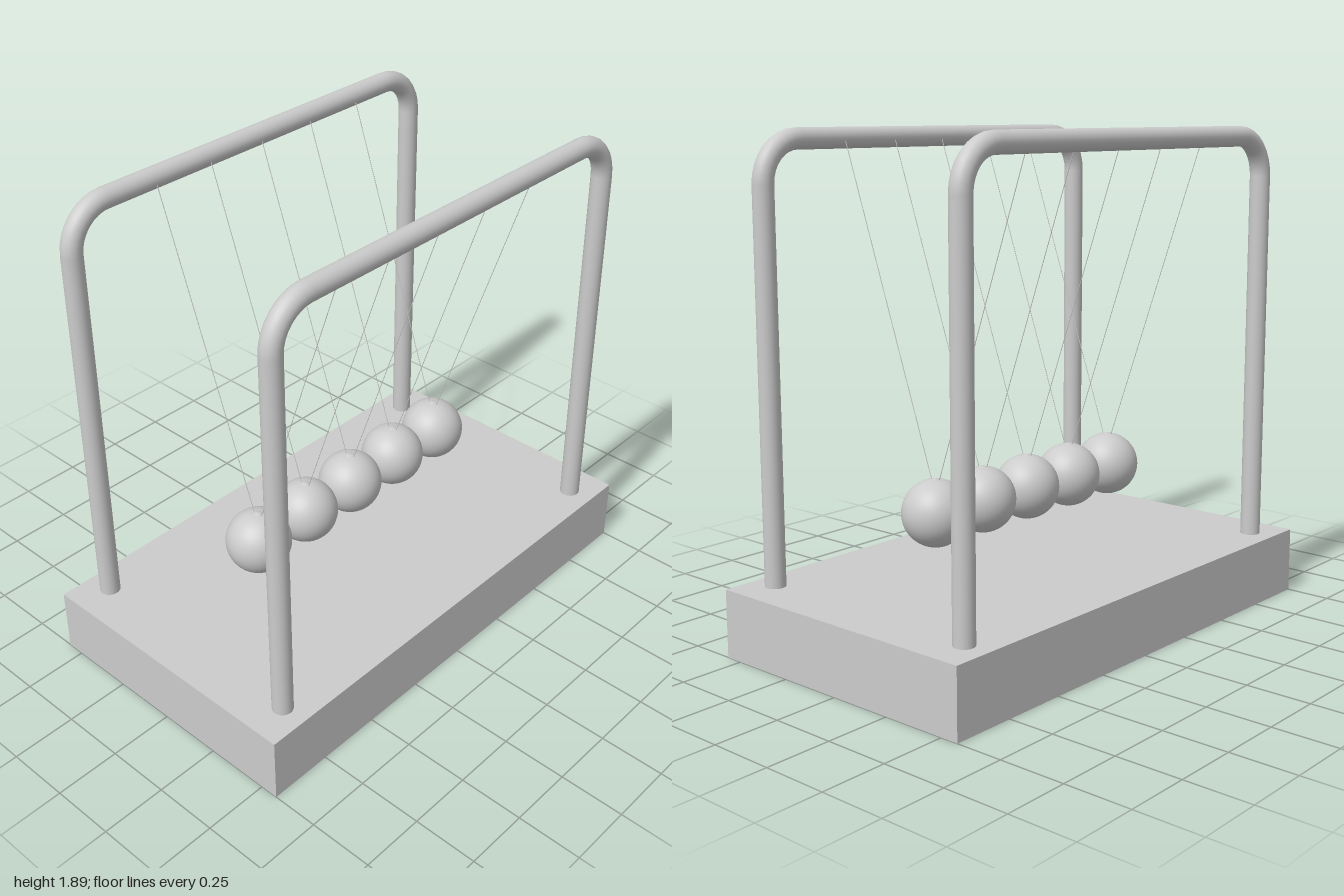
import * as THREE from 'three';

const material = new THREE.MeshStandardMaterial({ color: 0xcccccc });

function part(name, geometry, x = 0, y = 0, z = 0) {
  const mesh = new THREE.Mesh(geometry, material);
  mesh.name = name;
  mesh.position.set(x, y, z);
  return mesh;
}

// Straight round bar between two points
function rod(name, from, to, radius, sides, open = true) {
  const dir = to.clone().sub(from);
  const mesh = part(name, new THREE.CylinderGeometry(radius, radius, dir.length(), sides, 1, open));
  mesh.position.copy(from).addScaledVector(dir, 0.5);
  mesh.quaternion.setFromUnitVectors(new THREE.Vector3(0, 1, 0), dir.normalize());
  return mesh;
}

const V = (x, y, z) => new THREE.Vector3(x, y, z);

const BASE = { w: 2, h: 0.257, d: 1.14 };
const RAIL = { x: 0.855, y: 1.856, z: 0.467, r: 0.039, bend: 0.155 };
const BALL = { r: 0.124, y: 0.541, step: 0.25 };

// Inverted U frame: two posts, two rounded corners, one top bar
function createFrame(z) {
  const frame = new THREE.Group();
  frame.name = z > 0 ? 'frontFrame' : 'backFrame';
  const { x, y, r, bend } = RAIL;
  for (const side of [1, -1]) {
    frame.add(rod('post', V(side * x, BASE.h, 0), V(side * x, y - bend, 0), r, 24));
    const corner = part('corner', new THREE.TorusGeometry(bend, r, 24, 8, Math.PI / 2),
      side * (x - bend), y - bend, 0);
    if (side < 0) corner.rotation.y = Math.PI;
    frame.add(corner);
  }
  frame.add(rod('topBar', V(bend - x, y, 0), V(x - bend, y, 0), r, 24));
  frame.position.z = z;
  return frame;
}

// Ball with its small top knob and two slanted strings
function createPendulum(x) {
  const pendulum = new THREE.Group();
  pendulum.name = 'pendulum';
  pendulum.add(part('ball', new THREE.SphereGeometry(BALL.r, 40, 28), 0, BALL.y, 0));
  pendulum.add(part('knob', new THREE.SphereGeometry(0.034, 20, 14), 0, 0.634, 0));
  for (const side of [1, -1]) {
    pendulum.add(rod('string', V(0, 0.65, side * 0.015), V(0, 1.85, side * 0.432), 0.0015, 6, false));
  }
  pendulum.position.x = x;
  return pendulum;
}

export function createModel() {
  const model = new THREE.Group();
  model.name = 'swingingBalls';
  model.add(part('base', new THREE.BoxGeometry(BASE.w, BASE.h, BASE.d), 0, BASE.h / 2, 0));
  for (const side of [1, -1]) model.add(createFrame(side * RAIL.z));
  for (let i = -2; i <= 2; i++) model.add(createPendulum(i * BALL.step));
  return model;
}
